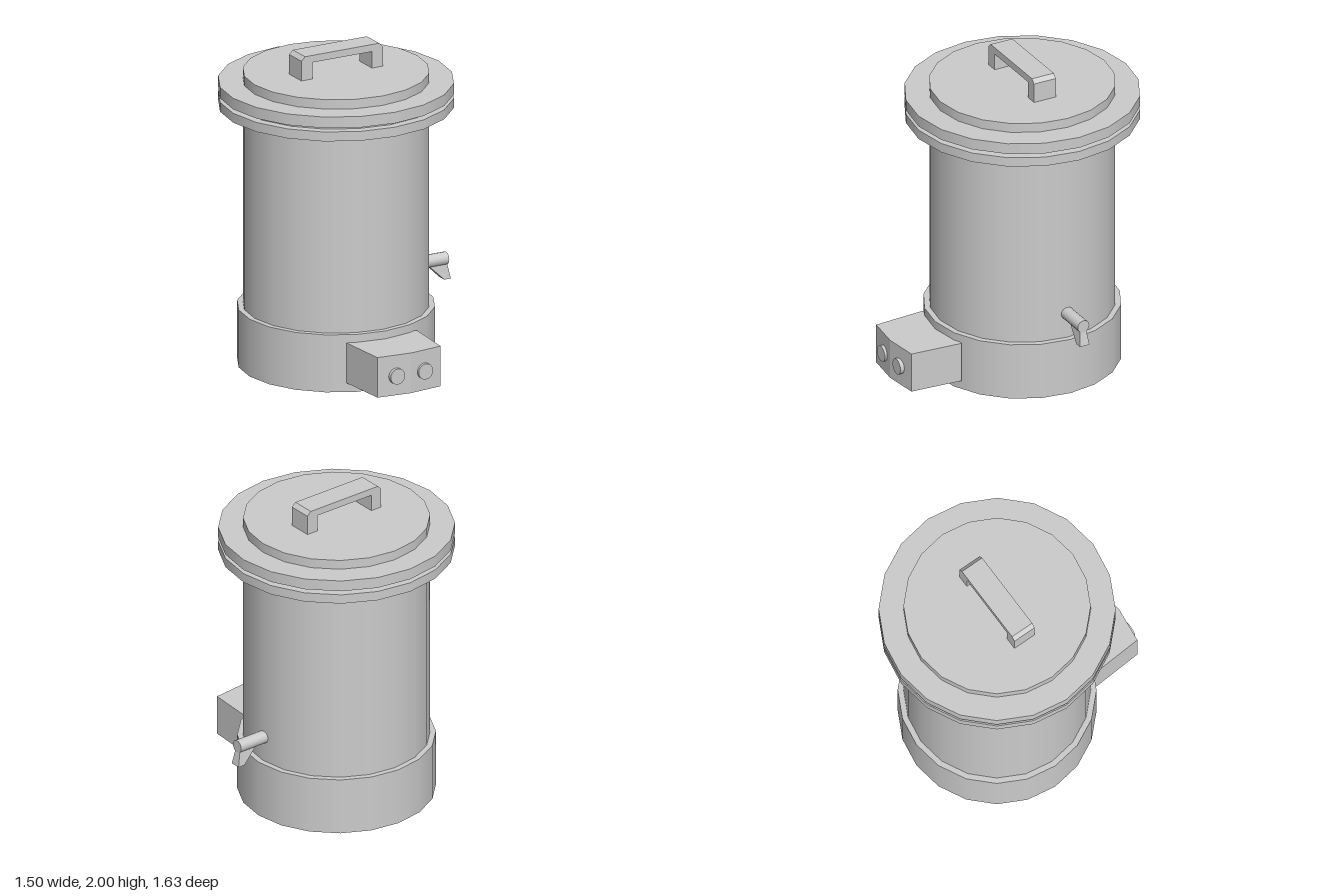
import * as THREE from 'three';

const material = new THREE.MeshStandardMaterial({ color: 0xcccccc });
const AX = -0.035, AZ = -0.103; // vertical axis of the vessel

function add(group, name, geometry) {
  const mesh = new THREE.Mesh(geometry, material);
  mesh.name = name;
  group.add(mesh);
  return mesh;
}

// Twenty-sided ring or drum between two heights
function drum(group, name, radius, y0, y1) {
  add(group, name, new THREE.CylinderGeometry(radius, radius, y1 - y0, 20))
    .position.set(AX, (y0 + y1) / 2, AZ);
}

function extrude(points, depth) {
  const shape = new THREE.Shape(points.map(([x, y]) => new THREE.Vector2(x, y)));
  return new THREE.ExtrudeGeometry(shape, { depth, bevelEnabled: false });
}

export function createModel() {
  const model = new THREE.Group();
  model.name = 'urn';

  // Vessel and lid
  drum(model, 'base', 0.6, 0, 0.365);
  drum(model, 'body', 0.565, 0.365, 1.635);
  drum(model, 'bodyRim', 0.715, 1.635, 1.695);
  drum(model, 'seal', 0.66, 1.695, 1.72);
  drum(model, 'lidRim', 0.715, 1.72, 1.79);
  drum(model, 'lidTop', 0.565, 1.79, 1.85);

  // Bracket handle with chamfered corners
  const handle = extrude([
    [-0.283, 1.85], [-0.208, 1.85], [-0.208, 1.955], [0.208, 1.955], [0.208, 1.85], [0.283, 1.85],
    [0.283, 1.975], [0.258, 2], [-0.258, 2], [-0.283, 1.975],
  ], 0.15);
  add(model, 'lidHandle', handle).position.set(AX, 0, AZ - 0.075);

  // Control box: plan outline with a slightly bowed front, extruded upwards
  const box = extrude([
    [-0.243, -0.45], [0.243, -0.45], [0.22, -0.782], [0, -0.807], [-0.22, -0.782],
  ].reverse(), 0.255);
  box.rotateX(-Math.PI / 2);
  add(model, 'controlBox', box).position.set(AX, 0.06, 0);

  // Two control knobs
  for (const side of [-1, 1]) {
    const knob = new THREE.CylinderGeometry(0.05, 0.05, 0.05, 20).rotateX(Math.PI / 2);
    add(model, side < 0 ? 'rightKnob' : 'leftKnob', knob).position.set(AX + side * 0.097, 0.183, 0.792);
  }

  // Tap pipe
  const pipe = new THREE.CylinderGeometry(0.04, 0.04, 0.23, 16).rotateZ(Math.PI / 2);
  add(model, 'tapPipe', pipe).position.set(0.615, 0.527, AZ);

  // Tap spout, widening towards its mouth
  const spout = extrude([
    [0.70, 0.403], [0.745, 0.403], [0.725, 0.5], [0.60, 0.5],
  ], 2);
  const p = spout.attributes.position;
  for (let i = 0; i < p.count; i++) {
    const half = p.getY(i) > 0.45 ? 0.021 : 0.033;
    p.setZ(i, (p.getZ(i) - 1) * half);
  }
  spout.computeVertexNormals();
  add(model, 'tapSpout', spout).position.z = AZ;

  return model;
}
